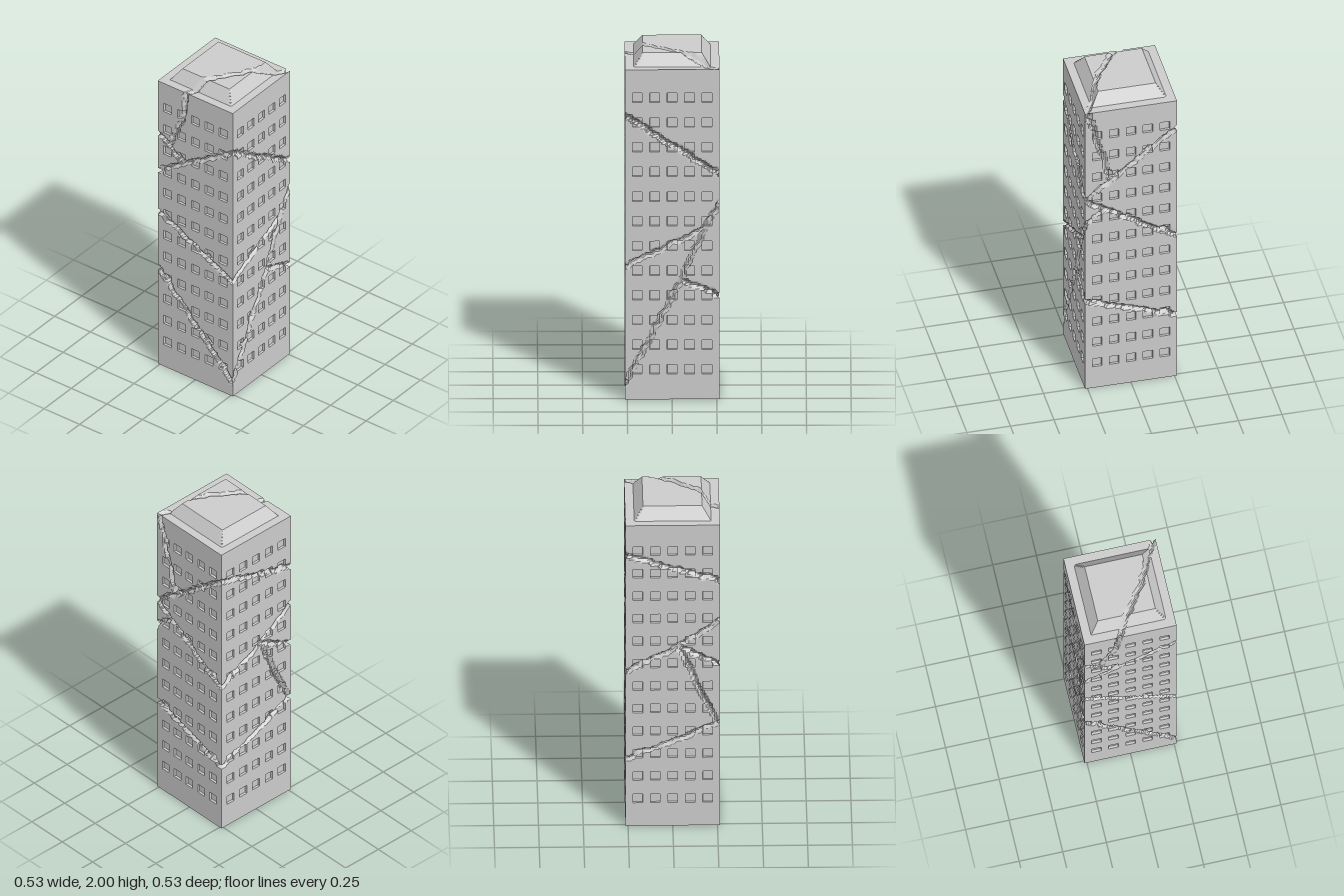
import * as THREE from 'three';
import { toCreasedNormals } from 'three/addons/utils/BufferGeometryUtils.js';

const HALF = 0.264, EAVE = 1.93, SIDE = HALF * 2, AROUND = SIDE * 4;
const WIN = 0.0275, WIN_DEPTH = 0.014, EPS = 0.0006;
const columns = [-2, -1, 0, 1, 2].map((i) => i * 0.0975);
const floors = Array.from({ length: 12 }, (_, i) => 0.175 + i * 0.1446);
const clamp = THREE.MathUtils.clamp;

let seed = 7;
const rand = () => (seed = (seed * 16807) % 2147483647) / 2147483647;

// Grid lines: sharp pairs at each window edge, evenly filled in between
function gridLines(from, to, centres, extra, step) {
  const stops = [from, to, ...extra];
  for (const c of centres) stops.push(c - WIN, c - WIN + EPS, c + WIN - EPS, c + WIN);
  stops.sort((a, b) => a - b);
  const out = [from];
  for (let i = 1; i < stops.length; i++) {
    const a = stops[i - 1], b = stops[i], n = Math.ceil((b - a) / step);
    for (let k = 1; k <= n; k++) out.push(k === n ? b : a + ((b - a) * k) / n);
  }
  return out;
}

// Surface over a grid of lines, each point placed by a rule
function gridSurface(us, vs, place) {
  const pos = [], index = [], w = us.length;
  for (const v of vs) for (const u of us) pos.push(...place(u, v));
  for (let j = 0; j < vs.length - 1; j++) {
    for (let i = 0; i < w - 1; i++) {
      const a = j * w + i, b = a + 1, c = b + w, d = a + w;
      index.push(a, b, c, a, c, d);
    }
  }
  const g = new THREE.BufferGeometry();
  g.setAttribute('position', new THREE.Float32BufferAttribute(pos, 3));
  g.setIndex(index);
  return toCreasedNormals(g, 0.7);
}

// Turns a path into short jagged segments, keeping its own points fixed
function jagged(path) {
  const pts = [path[0]];
  for (let i = 1; i < path.length; i++) {
    const [ax, ay] = path[i - 1], [bx, by] = path[i];
    const len = Math.hypot(bx - ax, by - ay), n = Math.max(1, Math.round(len / 0.024));
    for (let k = 1; k <= n; k++) {
      const t = k / n, o = k === n ? 0 : (rand() - 0.5) * 0.016;
      pts.push([ax + (bx - ax) * t - ((by - ay) / len) * o, ay + (by - ay) * t + ((bx - ax) / len) * o]);
    }
  }
  return pts.slice(1).map((p, i) => [...pts[i], ...p]);
}

// Depth of the groove at a point
function crackDepth(segments, x, y) {
  let best = 1;
  for (const [ax, ay, bx, by] of segments) {
    const dx = bx - ax, dy = by - ay;
    const t = clamp(((x - ax) * dx + (y - ay) * dy) / (dx * dx + dy * dy), 0, 1);
    best = Math.min(best, Math.hypot(x - ax - dx * t, y - ay - dy * t));
  }
  return 0.02 * clamp((0.014 - best) / 0.008, 0, 1);
}

// Crack paths as [distance around the tower, height], from a position on a side
const on = (side, t, y) => [side * SIDE + HALF + clamp(t, -HALF, HALF), y];
const E = HALF;
const wallPaths = [
  // upper crack that circles the tower
  [on(0, -E, 1.32), on(0, -0.08, 1.44), on(0, E, 1.66), on(1, E, 1.32), on(2, E, 1.74), on(3, E, 1.57)],
  [on(0, -E, 1.57), on(0, -0.18, 1.52), on(0, -0.08, 1.44)],
  // cracks running down from the roof
  [on(0, -0.06, EAVE), on(0, -0.09, 1.74), on(0, -0.18, 1.53)],
  [on(2, -0.249, EAVE), on(2, -0.113, 1.44)],
  // middle cracks
  [on(0, -E, 1.04), on(0, E, 0.775), on(1, 0.18, 1.0), on(1, E, 1.15), on(2, -0.155, 1.24)],
  [on(1, E, 1.32), on(2, -0.155, 1.24), on(2, E, 0.99), on(3, 0.03, 1.15), on(3, E, 1.32)],
  [on(3, 0.03, 1.15), on(3, E, 1.04)],
  [on(3, 0.03, 1.15), on(3, 0.24, 0.67)],
  // lower cracks
  [on(0, -E, 0.66), on(0, E, 0.09), on(1, 0.05, 0.7), on(1, 0.18, 1.0)],
  [on(1, 0.05, 0.7), on(1, E, 0.61), on(2, E, 0.43), on(3, E, 0.66)],
];
const roofPath = [[-0.06, -E], [-0.04, -0.22], [0.03, -0.14], [0.1, -0.03], [0.16, 0.07], [0.2, 0.18], [0.249, E]];

export function createModel() {
  seed = 7;
  const tower = new THREE.Group();
  tower.name = 'crackedTower';
  const mat = new THREE.MeshStandardMaterial({ color: 0xcccccc, side: THREE.DoubleSide });
  const add = (name, geo) => {
    const m = new THREE.Mesh(geo, mat);
    m.name = name;
    tower.add(m);
    return m;
  };

  const us = gridLines(-HALF, HALF, columns, [-0.215, -0.165, 0.165, 0.215], 0.011);
  const ys = gridLines(0, EAVE, floors, [], 0.011);
  const wallCracks = wallPaths.flatMap(jagged);
  // repeat cracks past the seam so the first and last corner agree
  const wrapped = [-AROUND, 0, AROUND].flatMap((s) => wallCracks.map(([a, b, c, d]) => [a + s, b, c + s, d]));
  const inWindow = (u, y) =>
    columns.some((c) => Math.abs(u - c) < WIN - EPS / 2) && floors.some((f) => Math.abs(y - f) < WIN - EPS / 2);

  // Four walls with recessed windows and cracks
  ['frontWall', 'leftWall', 'backWall', 'rightWall'].forEach((name, side) => {
    const mid = side * SIDE + HALF;
    const near = wrapped.filter(([a, , c]) => Math.max(a, c) > mid - HALF - 0.03 && Math.min(a, c) < mid + HALF + 0.03);
    const wall = add(name, gridSurface(us, ys, (u, y) => {
      const crack = crackDepth(near, mid + u, y);
      const d = crack + (inWindow(u, y) ? WIN_DEPTH : 0);
      const edge = HALF - d;
      return [clamp(u, -edge, edge), y === EAVE ? y - crack : y, edge];
    }));
    wall.rotation.y = (side * Math.PI) / 2;
  });

  // Roof: flat ledge, sloped sides and a flat top split by a crack
  const roofCracks = jagged(roofPath);
  add('roof', gridSurface(us, us, (x, v) => {
    const d = crackDepth(roofCracks, x, v), edge = HALF - d;
    const rise = 0.07 * clamp((0.215 - Math.max(Math.abs(x), Math.abs(v))) / 0.05, 0, 1);
    return [clamp(x, -edge, edge), EAVE + rise - d, -clamp(v, -edge, edge)];
  }));

  // Underside
  add('base', new THREE.PlaneGeometry(SIDE, SIDE).rotateX(Math.PI / 2));
  return tower;
}
